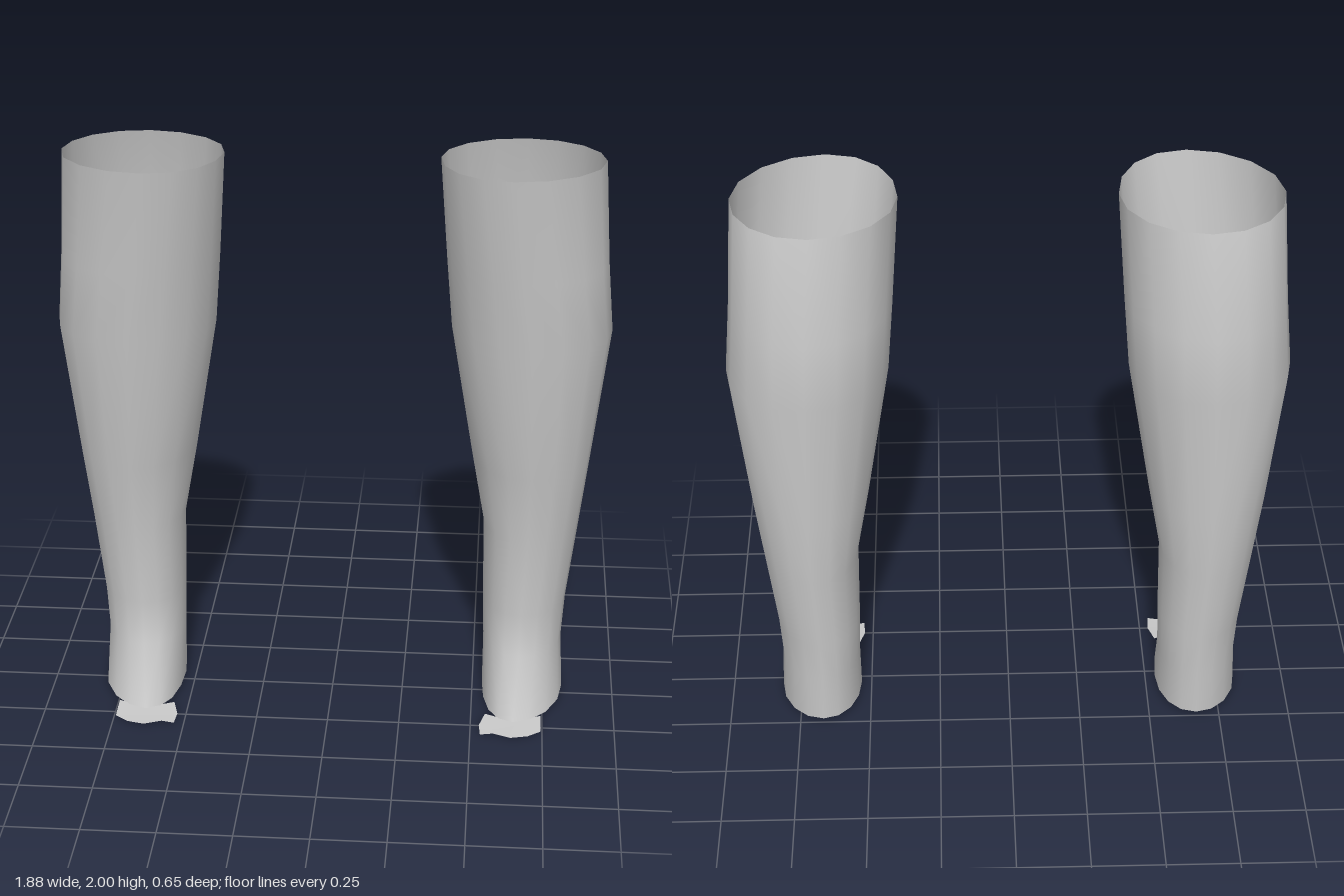
import * as THREE from 'three';

const SEGMENTS = 16;

// Cross-sections of the left guard, top to bottom:
// y, tilt along z, inner x, outer x, back z, widest z, front z, front lean, back lean
const SECTIONS = [
  [1.99, 0.035, 0.355, 0.895, -0.245, 0.01, 0.285, -0.03, 0.01],
  [1.63, 0, 0.38, 0.918, -0.328, -0.03, 0.235, -0.01, 0.01],
  [1.38, 0, 0.4, 0.94, -0.317, -0.05, 0.215, 0, 0],
  [0.9, 0, 0.48, 0.885, -0.305, -0.07, 0.15, 0, 0],
  [0.65, 0, 0.525, 0.855, -0.285, -0.07, 0.108, -0.01, -0.01],
  [0.36, 0, 0.53, 0.82, -0.265, -0.07, 0.105, -0.01, -0.01],
  [0.2, 0, 0.535, 0.81, -0.255, -0.07, 0.112, -0.01, -0.01],
  [0.01, -0.03, 0.535, 0.82, -0.25, -0.04, 0.225, -0.03, -0.01],
];

// Open tube lofted through the sections; side is +1 for left, -1 for right
function sleeveGeometry(side) {
  const positions = [];
  const index = [];
  for (const [y, tilt, x0, x1, back, mid, front, leanF, leanB] of SECTIONS) {
    for (let j = 0; j < SEGMENTS; j++) {
      const a = (j / SEGMENTS) * Math.PI * 2;
      const c = Math.cos(a);
      const z = mid + c * (c > 0 ? front - mid : mid - back);
      const x = (x0 + x1) / 2 + ((x1 - x0) / 2) * Math.sin(a) + c * c * (c > 0 ? leanF : leanB);
      positions.push(side * x, y + tilt * z, z);
    }
  }
  for (let i = 0; i < SECTIONS.length - 1; i++) {
    for (let j = 0; j < SEGMENTS; j++) {
      const k = (j + 1) % SEGMENTS;
      const a = i * SEGMENTS + j, d = i * SEGMENTS + k;
      const b = a + SEGMENTS, c = d + SEGMENTS;
      if (side > 0) index.push(a, b, c, a, c, d);
      else index.push(a, c, b, a, d, c);
    }
  }
  const geometry = new THREE.BufferGeometry();
  geometry.setAttribute('position', new THREE.Float32BufferAttribute(positions, 3));
  geometry.setIndex(index);
  geometry.computeVertexNormals();
  return geometry;
}

// Thin scalloped tongue over the toes, lying on the ground
function toeFlapGeometry(side) {
  const outline = [
    [0.55, 0.18], [0.53, 0.25], [0.535, 0.31], [0.58, 0.3], [0.64, 0.325],
    [0.7, 0.31], [0.745, 0.275], [0.745, 0.18], [0.65, 0.22],
  ];
  const points = outline.map(([x, z]) => new THREE.Vector2(side * x, -z));
  const geometry = new THREE.ShapeGeometry(new THREE.Shape(points));
  geometry.rotateX(-Math.PI / 2);
  // Rise slightly towards the instep
  const p = geometry.attributes.position;
  for (let i = 0; i < p.count; i++) p.setY(i, Math.max(0, (0.27 - p.getZ(i)) * 0.08));
  geometry.computeVertexNormals();
  return geometry;
}

export function createModel() {
  const model = new THREE.Group();
  model.name = 'legGuards';
  const grey = new THREE.MeshStandardMaterial({ color: 0xc8c8c8, side: THREE.DoubleSide });
  grey.name = 'light grey';

  for (const [name, side] of [['left', 1], ['right', -1]]) {
    const guard = new THREE.Group();
    guard.name = name + 'LegGuard';
    const sleeve = new THREE.Mesh(sleeveGeometry(side), grey);
    sleeve.name = name + 'Sleeve';
    const flap = new THREE.Mesh(toeFlapGeometry(side), grey);
    flap.name = name + 'ToeFlap';
    guard.add(sleeve, flap);
    model.add(guard);
  }
  return model;
}
